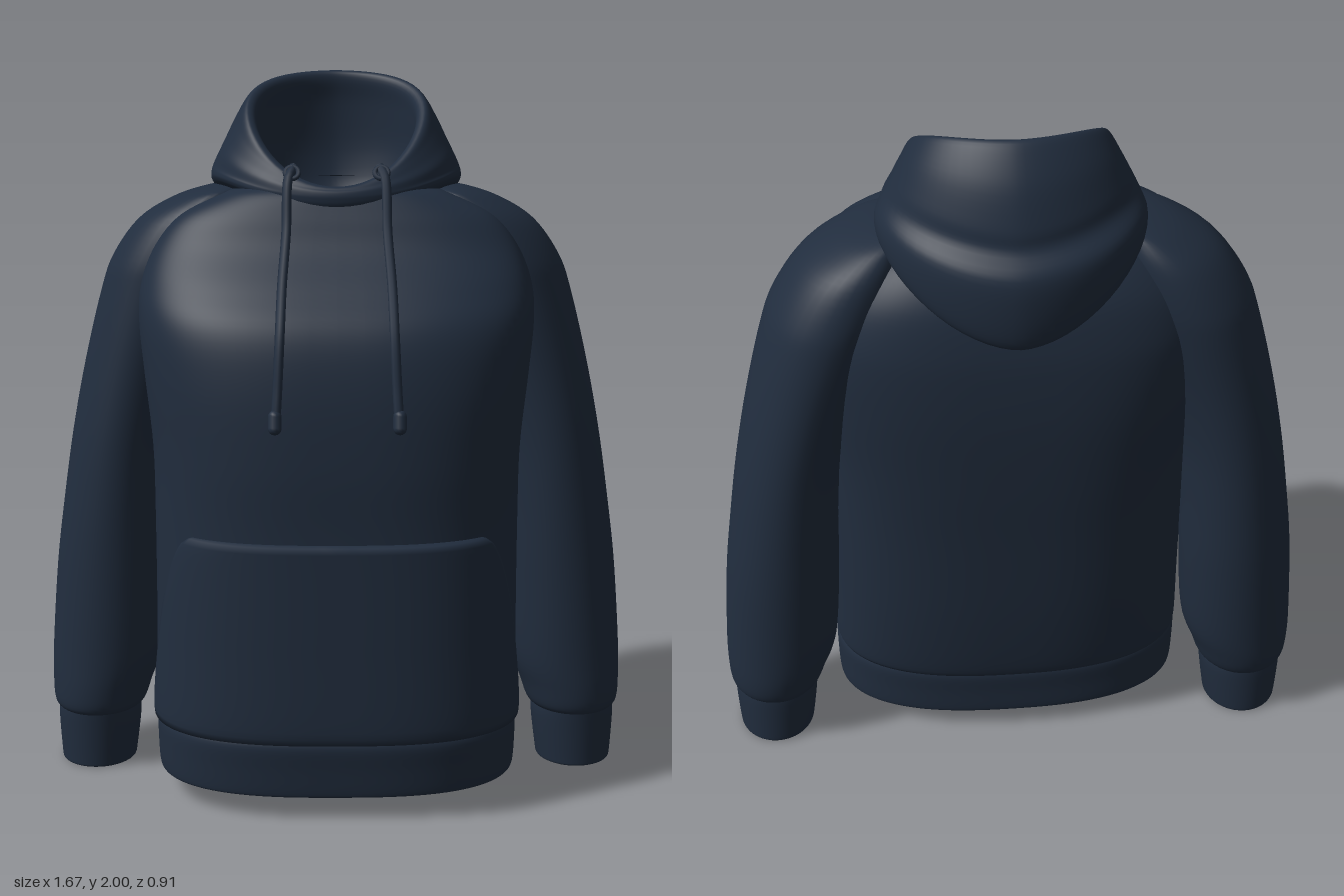
import * as THREE from 'three';
import { mergeVertices } from 'three/addons/utils/BufferGeometryUtils.js';

// Catmull-Rom blend of a list of equal-length number rows, t in 0..1
function blend(rows, t) {
  const n = rows.length - 1, f = Math.min(Math.max(t, 0), 1) * n;
  const i = Math.min(Math.floor(f), n - 1), w = f - i;
  const at = k => rows[Math.min(Math.max(k, 0), n)];
  return rows[0].map((_, c) => {
    const [a, b, d, e] = [at(i - 1)[c], at(i)[c], at(i + 1)[c], at(i + 2)[c]];
    return b + 0.5 * w * (d - a + w * (2 * a - 5 * b + 4 * d - e + w * (3 * (b - d) + e - a)));
  });
}

// Smooth surface from fn(u, v) -> [x, y, z]
function surface(nu, nv, fn) {
  const pos = [], index = [];
  for (let j = 0; j <= nv; j++) for (let i = 0; i <= nu; i++) pos.push(...fn(i / nu, j / nv));
  for (let j = 0; j < nv; j++) for (let i = 0; i < nu; i++) {
    const a = j * (nu + 1) + i, b = a + nu + 1;
    index.push(a, b, a + 1, a + 1, b, b + 1);
  }
  const g = new THREE.BufferGeometry();
  g.setAttribute('position', new THREE.Float32BufferAttribute(pos, 3));
  g.setIndex(index);
  const merged = mergeVertices(g, 1e-5);
  merged.computeVertexNormals();
  return merged;
}

const power = (v, p) => Math.sign(v) * Math.abs(v) ** p;

// Rounded torso outline; section = [y, half width, front z, back z, back roundness]
function torsoPoint([y, rx, zf, zb, pb], angle, grow = 0) {
  const front = Math.sin(angle) > 0, p = front ? 0.74 : pb, mid = 0.03;
  const depth = (front ? zf - mid : mid - zb) + grow;
  return [power(Math.cos(angle), p) * (rx + grow), y, mid + power(Math.sin(angle), p) * depth];
}

const torsoRows = [
  [0.215, 0.495, 0.39, -0.24, 0.8], [0.235, 0.508, 0.41, -0.265, 0.8],
  [0.28, 0.512, 0.42, -0.288, 0.8], [0.5, 0.508, 0.42, -0.32, 0.76],
  [0.8, 0.507, 0.42, -0.35, 0.72], [1.0, 0.51, 0.425, -0.37, 0.68],
  [1.2, 0.53, 0.415, -0.385, 0.64], [1.35, 0.543, 0.38, -0.387, 0.62],
  [1.45, 0.535, 0.305, -0.38, 0.62], [1.55, 0.495, 0.215, -0.36, 0.64],
  [1.63, 0.425, 0.17, -0.325, 0.7], [1.685, 0.31, 0.138, -0.29, 0.8],
  [1.705, 0.235, 0.115, -0.27, 0.9],
];
const hemRows = [
  [0.11, 0.48, 0.365, -0.215, 0.8], [0.075, 0.49, 0.375, -0.225, 0.8],
  [0.07, 0.502, 0.388, -0.237, 0.8], [0.085, 0.508, 0.394, -0.243, 0.8],
  [0.15, 0.511, 0.402, -0.248, 0.8], [0.21, 0.511, 0.41, -0.254, 0.8],
  [0.235, 0.503, 0.405, -0.25, 0.8],
];
// [y, inner x, outer x, back z, front z]
const cuffRows = [
  [0.06, 0.615, 0.785, -0.215, -0.025], [0.012, 0.61, 0.795, -0.225, -0.015],
  [0.005, 0.598, 0.81, -0.242, -0.002], [0.03, 0.592, 0.814, -0.247, 0.002],
  [0.14, 0.578, 0.819, -0.253, 0.014], [0.18, 0.58, 0.815, -0.253, 0.018],
];
const sleeveRows = [
  [0.165, 0.59, 0.808, -0.245, 0.01], [0.185, 0.565, 0.828, -0.268, 0.028],
  [0.24, 0.545, 0.833, -0.285, 0.036], [0.35, 0.51, 0.831, -0.298, 0.04],
  [0.6, 0.492, 0.812, -0.317, 0.045], [0.8, 0.485, 0.786, -0.326, 0.05],
  [1.0, 0.465, 0.755, -0.331, 0.055], [1.2, 0.415, 0.715, -0.334, 0.06],
  [1.4, 0.34, 0.665, -0.335, 0.07], [1.5, 0.3, 0.628, -0.327, 0.075],
  [1.6, 0.27, 0.555, -0.3, 0.065], [1.66, 0.26, 0.46, -0.26, 0.045],
  [1.69, 0.26, 0.37, -0.215, 0.015], [1.7, 0.28, 0.3, -0.13, -0.09],
];
// Hood rings from underside, over the rim, down into the lining:
// [half width, front z, back z, front y, side y, back y]
const hoodRows = [
  [0.24, 0.11, -0.32, 1.62, 1.65, 1.54], [0.325, 0.145, -0.405, 1.65, 1.685, 1.49],
  [0.348, 0.155, -0.44, 1.665, 1.705, 1.505], [0.35, 0.158, -0.455, 1.68, 1.73, 1.6],
  [0.342, 0.158, -0.448, 1.69, 1.755, 1.7], [0.325, 0.155, -0.4, 1.7, 1.79, 1.755],
  [0.305, 0.15, -0.388, 1.705, 1.83, 1.81], [0.28, 0.145, -0.35, 1.71, 1.875, 1.91],
  [0.257, 0.138, -0.295, 1.712, 1.905, 1.99], [0.24, 0.125, -0.27, 1.712, 1.91, 2.0],
  [0.222, 0.112, -0.262, 1.705, 1.89, 1.975], [0.22, 0.1, -0.275, 1.685, 1.84, 1.9],
  [0.22, 0.085, -0.28, 1.65, 1.75, 1.75], [0.18, 0.05, -0.24, 1.6, 1.66, 1.64],
  [0.001, -0.09, -0.092, 1.62, 1.62, 1.62],
];

const torso = (rows, n) => surface(96, n, (u, v) => torsoPoint(blend(rows, v), -u * Math.PI * 2));

const arm = (rows, n, side) => surface(40, n, (u, v) => {
  const [y, x0, x1, z0, z1] = blend(rows, v), a = -u * Math.PI * 2;
  return [side * (x0 + x1) / 2 + Math.cos(a) * (x1 - x0) / 2, y,
    (z0 + z1) / 2 + Math.sin(a) * (z1 - z0) / 2];
});

// Hood rings are slightly pointed towards the back
const hood = () => surface(64, 70, (u, v) => {
  const [rx, zf, zb, yf, ym, yb] = blend(hoodRows, v), a = -u * Math.PI * 2, s = Math.sin(a);
  const y = ym + s * (yf - yb) / 2 + s * s * ((yf + yb) / 2 - ym);
  return [rx * power(Math.cos(a), s < 0 ? 1.14 : 1), y, (zf + zb) / 2 + s * (zf - zb) / 2];
});

// Torso section at a given height
function torsoAt(y) {
  let lo = 0, hi = 1;
  for (let i = 0; i < 24; i++) {
    const m = (lo + hi) / 2;
    if (blend(torsoRows, m)[0] < y) lo = m; else hi = m;
  }
  return blend(torsoRows, lo);
}

// Front pouch wrapped over the torso with its border turned in
const pocket = () => surface(60, 32, (u, v) => {
  const k = Math.min(Math.max((v - 0.03) / 0.94, 0), 1), y = 0.24 + 0.555 * k;
  const span = 0.77 + 0.61 * (1 - k) ** 0.6;
  const w = Math.min(Math.max((u - 0.02) / 0.96, 0), 1) * 2 - 1;
  const edge = v === 0 || v === 1 || u === 0 || u === 1;
  const lift = 0.03 - 0.018 * Math.abs(w) ** 3;
  return torsoPoint(torsoAt(y), Math.PI / 2 - w * span, edge ? -0.006 : lift);
});

export function createModel() {
  const group = new THREE.Group();
  const fabric = new THREE.MeshStandardMaterial({ color: 0x212d3e, side: THREE.DoubleSide });
  fabric.name = 'navy fabric';
  const add = (name, geometry) => {
    const mesh = new THREE.Mesh(geometry, fabric);
    mesh.name = name;
    group.add(mesh);
    return mesh;
  };

  add('torso', torso(torsoRows, 72));
  add('waistband', torso(hemRows, 24));
  add('hood', hood());
  add('frontPocket', pocket());

  for (const side of [1, -1]) {
    const label = side > 0 ? 'left' : 'right';
    add(label + 'Sleeve', arm(sleeveRows, 65, side));
    add(label + 'Cuff', arm(cuffRows, 20, side));

    // Drawstring hanging from the collar to the chest
    const path = [
      [0.115, 1.765, 0.11], [0.13, 1.735, 0.143], [0.135, 1.6, 0.205], [0.145, 1.47, 0.295],
      [0.15, 1.35, 0.38], [0.157, 1.2, 0.42], [0.162, 1.12, 0.437],
    ].map(([x, y, z]) => new THREE.Vector3(side * x, y, z));
    add(label + 'Drawstring', new THREE.TubeGeometry(new THREE.CatmullRomCurve3(path), 48, 0.013, 8));
    const tip = add(label + 'DrawstringTip', new THREE.CapsuleGeometry(0.018, 0.03, 4, 10));
    tip.position.set(side * 0.163, 1.132, 0.437);
    tip.rotation.x = -0.25;
    const eyelet = add(label + 'Eyelet', new THREE.TorusGeometry(0.018, 0.007, 8, 16));
    eyelet.position.set(side * 0.12, 1.75, 0.13);
    eyelet.rotation.x = -0.6;
  }
  return group;
}
